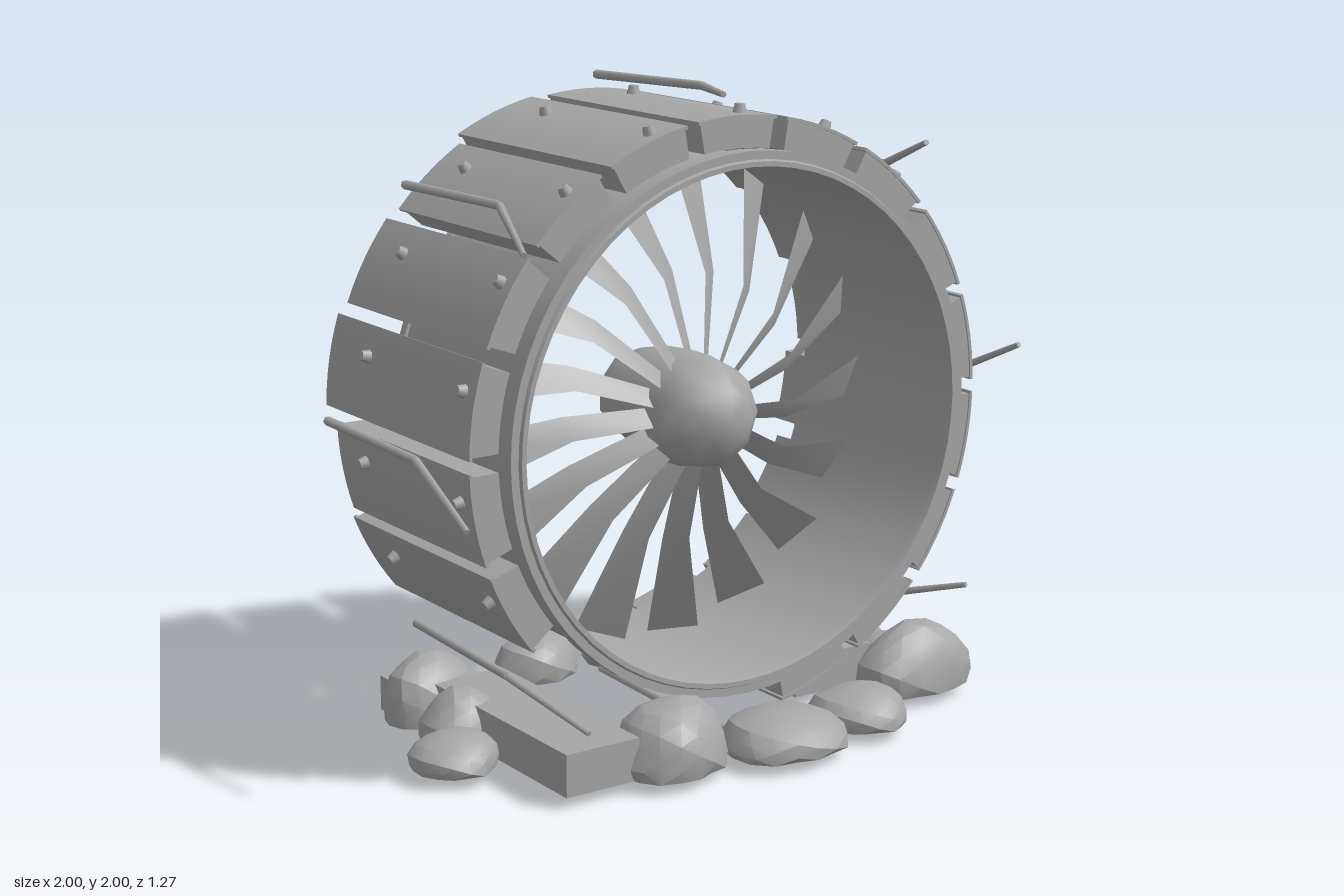
import * as THREE from 'three';
import { toCreasedNormals } from 'three/addons/utils/BufferGeometryUtils.js';

const DEG = Math.PI / 180;

export function createModel() {
  const model = new THREE.Group();
  const grey = new THREE.MeshStandardMaterial({ color: 0xa6a6a6, side: THREE.DoubleSide });
  grey.name = 'plain grey';

  const add = (parent, geometry, name) => {
    const mesh = new THREE.Mesh(geometry, grey);
    mesh.name = name;
    parent.add(mesh);
    return mesh;
  };
  const group = (parent, name) => {
    const g = new THREE.Group();
    g.name = name;
    parent.add(g);
    return g;
  };
  // Lathe turned so its axis runs along z; points are [radius, z]
  const turned = (points, segments, crease) => toCreasedNormals(
    new THREE.LatheGeometry(points.map(p => new THREE.Vector2(...p)), segments).rotateX(Math.PI / 2), crease);
  // Arched slab centred on +y, from z0 to z1
  const arch = (r0, r1, half0, half1, z0, z1) => {
    const shape = new THREE.Shape();
    const steps = 6;
    for (let i = 0; i <= steps; i++) {
      const a = (90 - half1 + 2 * half1 * i / steps) * DEG;
      shape[i ? 'lineTo' : 'moveTo'](r1 * Math.cos(a), r1 * Math.sin(a));
    }
    for (let i = 0; i <= steps; i++) {
      const a = (90 + half0 - 2 * half0 * i / steps) * DEG;
      shape.lineTo(r0 * Math.cos(a), r0 * Math.sin(a));
    }
    shape.closePath();
    const g = new THREE.ExtrudeGeometry(shape, { depth: z1 - z0, bevelEnabled: false });
    return toCreasedNormals(g.translate(0, 0, z0), 0.5);
  };
  // Straight tapered bar between two points
  const bar = (a, b, ra, rb) => {
    const d = b.clone().sub(a);
    const g = new THREE.CylinderGeometry(rb, ra, d.length(), 6);
    g.applyQuaternion(new THREE.Quaternion().setFromUnitVectors(new THREE.Vector3(0, 1, 0), d.normalize()));
    return g.translate((a.x + b.x) / 2, (a.y + b.y) / 2, (a.z + b.z) / 2);
  };

  const turbine = group(model, 'turbine');
  turbine.position.y = 1;

  // Inner duct with front flange and rear rim
  add(turbine, turned([
    [0.765, -0.36], [0.79, -0.36], [0.79, -0.33], [0.78, -0.33], [0.78, 0.315], [0.815, 0.315],
    [0.815, 0.37], [0.79, 0.37], [0.785, 0.38], [0.77, 0.38], [0.765, 0.36], [0.765, -0.36],
  ], 64, 0.5), 'duct');

  // Outer casing panels; three are missing at the bottom
  const rearEnds = [-0.495, -0.465, -0.53];
  for (let k = 0; k < 18; k++) {
    if (k >= 9 && k <= 11) continue;
    const panel = group(turbine, 'casingPanel');
    panel.rotation.z = -k * 20 * DEG;
    const back = rearEnds[k % 3];
    add(panel, arch(0.815, 0.902, 8.1, 8.3, back, 0.305), 'panelBody');
    add(panel, arch(0.902, 0.912, 8.8, 8.8, back, 0.31), 'panelSkin');
    for (const z of [0.25, -0.3]) {
      const bolt = add(panel, new THREE.CylinderGeometry(0.015, 0.022, 0.03, 8), 'bolt');
      bolt.position.set(0.923 * Math.sin(3 * DEG), 0.923 * Math.cos(3 * DEG), z);
      bolt.rotation.z = -3 * DEG;
    }
  }

  // Swept and pitched fan blades: rows of [radius, sideways, width, z, pitch]
  const rows = [
    [0.745, 0, 0.145, -0.09, -0.035],
    [0.41, 0.05, 0.066, 0.03, -0.025],
    [0.13, 0.02, 0.05, 0.1, -0.025],
  ];
  const bladeGeometry = new THREE.PlaneGeometry(1, 1, 1, 2);
  rows.forEach(([r, x, w, z, pitch], i) => {
    [-1, 1].forEach((s, j) => bladeGeometry.attributes.position.setXYZ(
      i * 2 + j, x + s * w / 2, r, z + s * pitch));
  });
  bladeGeometry.computeVertexNormals();
  const fan = group(turbine, 'fan');
  for (let i = 0; i < 17; i++) {
    add(fan, bladeGeometry, 'fanBlade').rotation.z = (-7 + i * 360 / 17) * DEG;
  }

  // Barrel-shaped hub
  add(fan, turned([
    [0, -0.27], [0.1, -0.265], [0.135, -0.23], [0.165, -0.1], [0.175, 0.03], [0.175, 0.13],
    [0.15, 0.21], [0.09, 0.265], [0, 0.285],
  ], 9, 1.2), 'hub').rotation.z = 10 * DEG;

  // Bent rods floating around the casing
  for (let i = 0; i < 8; i++) {
    const rod = group(turbine, 'bentRod');
    rod.rotation.z = i * 45 * DEG;
    const a = new THREE.Vector3(-0.003, 0.962, -0.43);
    const b = new THREE.Vector3(-0.003, 0.98, 0.13);
    const c = new THREE.Vector3(-0.14, 0.992, 0.43);
    add(rod, bar(a, b, 0.014, 0.013), 'rodShaft');
    add(rod, bar(b, c, 0.013, 0.009), 'rodTip');
  }

  // Flat-bottomed boulders: [x, z, half width, half depth, height, turn]
  const base = 0.035;
  const rubble = group(model, 'rubble');
  const rocks = [
    [-0.31, 0.41, 0.18, 0.155, 0.21, 0.1],
    [0.065, 0.46, 0.205, 0.18, 0.115, 0.1],
    [0.385, 0.42, 0.15, 0.15, 0.115, 0.4],
    [0.74, 0.26, 0.22, 0.13, 0.205, 0.1],
    [0.8, 0.05, 0.12, 0.12, 0.11, 0.4],
    [0.82, -0.18, 0.13, 0.12, 0.11, 0.6],
    [0.22, -0.49, 0.23, 0.14, 0.17, 0],
    [-0.19, -0.52, 0.15, 0.12, 0.14, 0.2],
    [-0.67, -0.38, 0.16, 0.13, 0.2, 0.4],
    [-0.83, 0.05, 0.135, 0.13, 0.105, 0.6],
    [-0.7, -0.12, 0.14, 0.13, 0.16, 0.2],
  ];
  rocks.forEach(([x, z, w, d, h, turn], n) => {
    const g = new THREE.IcosahedronGeometry(1, 2);
    const p = g.attributes.position;
    const v = new THREE.Vector3();
    for (let i = 0; i < p.count; i++) {
      v.fromBufferAttribute(p, i);
      const bump = 1 + 0.06 * Math.sin(3.1 * v.x + n * 1.7) * Math.cos(2.7 * v.z + n) + 0.03 * Math.sin(5 * v.y + 4 * v.x + n);
      v.multiplyScalar(bump);
      v.y = Math.max(v.y + 0.2, 0) / 1.2;
      p.setXYZ(i, v.x * w, v.y * h, v.z * d);
    }
    const rock = add(rubble, toCreasedNormals(g, 0.4), 'boulder');
    rock.position.set(x, base, z);
    rock.rotation.y = turn * 0.4;
  });

  // Long rectangular stone slabs: [x, z, width, depth, height]
  const slabs = [
    [-0.575, 0.08, 0.25, 0.76, 0.13],
    [0.5, -0.18, 0.3, 0.66, 0.125],
    [-0.67, -0.43, 0.2, 0.14, 0.11],
  ];
  for (const [x, z, w, d, h] of slabs) {
    add(rubble, new THREE.BoxGeometry(w, h, d), 'stoneSlab').position.set(x, base + h / 2, z);
  }

  return model;
}
